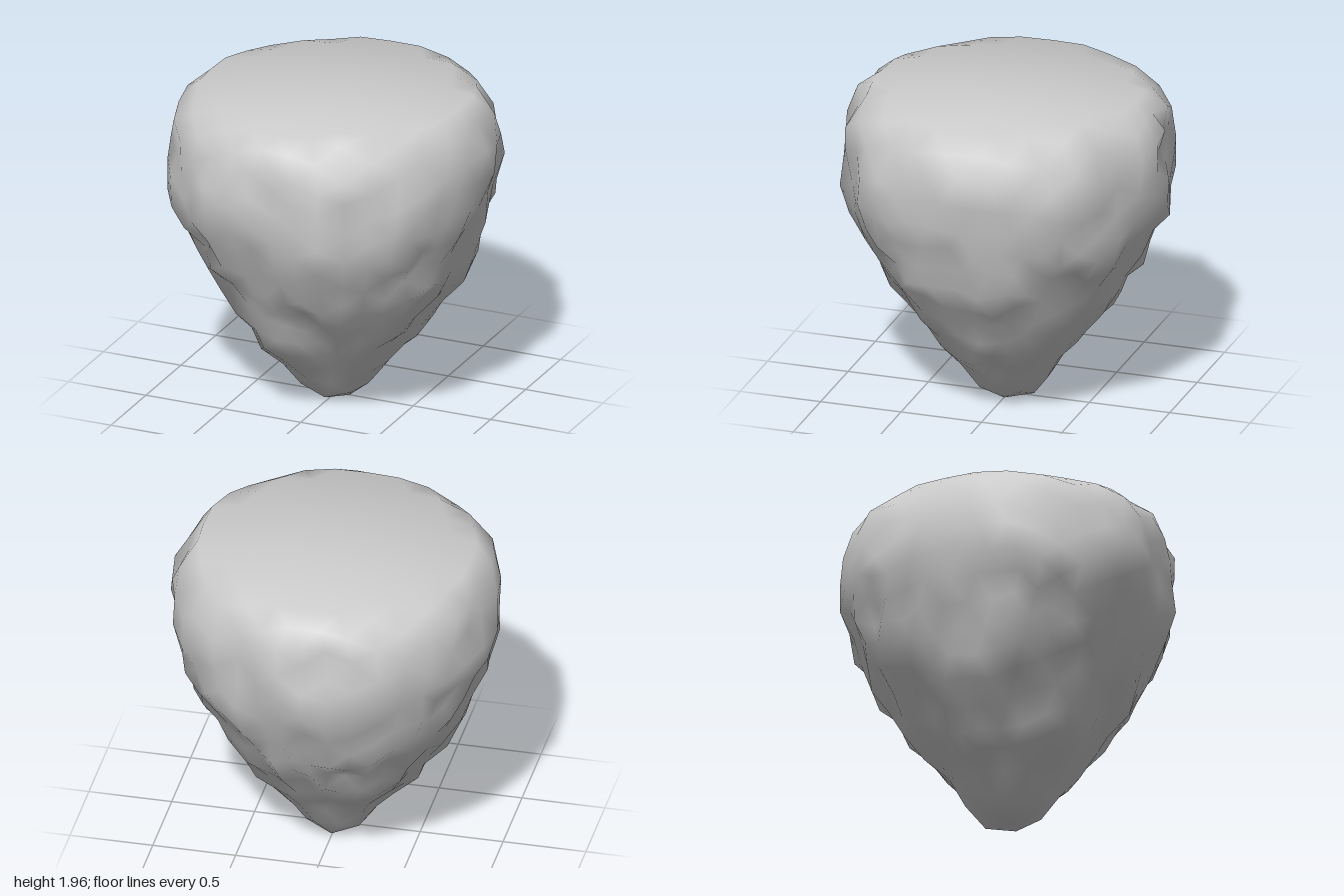
import * as THREE from 'three';
import { mergeVertices } from 'three/addons/utils/BufferGeometryUtils.js';

// flank of the boulder, from the blunt tip to the edge of the flat crown: radius, height
const FLANK = new THREE.SplineCurve([
  [0, 0.01], [0.13, 0.02], [0.24, 0.13], [0.30, 0.24], [0.40, 0.36], [0.51, 0.48],
  [0.60, 0.62], [0.69, 0.77], [0.79, 0.92], [0.85, 1.07], [0.92, 1.22], [0.955, 1.38],
  [0.965, 1.54], [0.955, 1.69], [0.92, 1.82], [0.83, 1.95],
].map(([r, y]) => new THREE.Vector2(r, y)));
const CROWN = 0.74; // share of the polar angle where the flank ends and the crown begins

// knobs and hollows: [degrees from +x towards +z, height, push, size]
const BUMPS = [
  [111, 0.40, 0.10, 0.17], [75, 0.50, -0.04, 0.16], [30, 1.60, 0.05, 0.15],
  [22, 1.42, -0.04, 0.14], [26, 0.90, 0.05, 0.17], [15, 0.68, -0.04, 0.14],
  [-8, 0.95, 0.05, 0.16], [2, 1.20, -0.03, 0.14], [-15, 0.55, 0.03, 0.14],
  [-40, 1.50, 0.05, 0.18], [-64, 1.50, -0.04, 0.16], [-85, 1.35, 0.03, 0.20],
  [-102, 1.55, -0.04, 0.14], [-112, 1.45, 0.04, 0.16], [-140, 1.55, 0.04, 0.18],
  [-135, 0.85, 0.04, 0.18], [-75, 0.70, 0.03, 0.16], [142, 1.40, 0.04, 0.20],
  [118, 1.40, 0.03, 0.18], [70, 1.25, 0.03, 0.18], [90, 0.85, -0.03, 0.18],
  [180, 0.65, 0.04, 0.16], [165, 1.05, -0.03, 0.16], [35, 0.50, 0.03, 0.14],
];

function seeded(seed) {
  return () => {
    seed = (seed * 16807) % 2147483647;
    return seed / 2147483647 - 0.5;
  };
}

// total outward push of the knobs at a spot on the flank
function bumpAt(angle, radius, y) {
  let sum = 0;
  for (const [degrees, height, push, size] of BUMPS) {
    const chord = 2 * radius * Math.sin((angle - THREE.MathUtils.degToRad(degrees)) / 2);
    sum += push * Math.exp(-(chord ** 2 + (y - height) ** 2) / size ** 2);
  }
  return sum;
}

function rockGeometry() {
  const rand = seeded(4711);
  const ball = new THREE.IcosahedronGeometry(1, 6);
  ball.deleteAttribute('uv');
  ball.deleteAttribute('normal');
  const geometry = mergeVertices(ball, 1e-3);
  const position = geometry.attributes.position;
  const crown = [];

  // every direction of the ball lands on the flank or on the crown
  for (let i = 0; i < position.count; i++) {
    const angle = Math.atan2(position.getZ(i), position.getX(i));
    const polar = Math.acos(THREE.MathUtils.clamp(-position.getY(i), -1, 1)) / Math.PI;
    let radius, y;
    if (polar > CROWN) {
      radius = 0.83 * (1 - polar) / (1 - CROWN);
      y = 1.965 - 0.015 * (radius / 0.83) ** 2;
      crown.push(i);
    } else {
      const p = FLANK.getPointAt(polar / CROWN);
      const rough = Math.min(1, p.x * 2, (CROWN - polar) * 15 + 0.3);
      radius = Math.min(0.995, p.x + rough * (rand() * 0.075 + bumpAt(angle, p.x, p.y)));
      y = p.y + rand() * 0.05 * rough;
    }
    const x = Math.cos(angle) * radius;
    // the crown rises slightly towards +x
    position.setXYZ(i, x, y + Math.max(0, y - 1.75) * x * 0.1, Math.sin(angle) * radius);
  }
  geometry.computeVertexNormals();

  // softly rounded shading across the crown
  const normal = geometry.attributes.normal;
  const n = new THREE.Vector3();
  for (const i of crown) {
    n.set(position.getX(i) * 0.4, 1, position.getZ(i) * 0.4).normalize();
    normal.setXYZ(i, n.x, n.y, n.z);
  }
  return geometry;
}

export function createModel() {
  const group = new THREE.Group();
  group.name = 'floatingRock';
  const rock = new THREE.Mesh(rockGeometry(), new THREE.MeshStandardMaterial({ color: 0xcccccc }));
  rock.name = 'rock';
  group.add(rock);
  return group;
}
